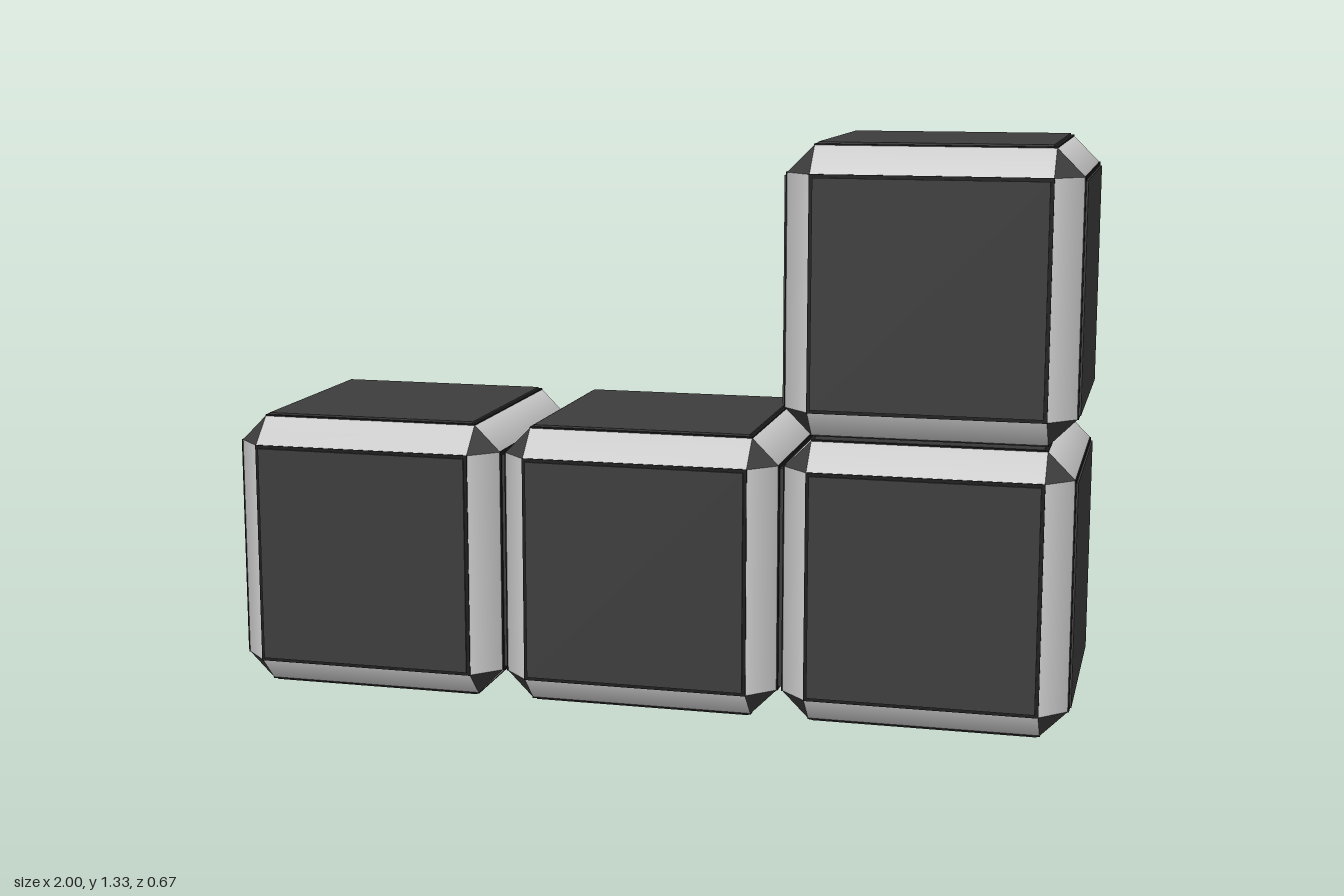
import * as THREE from 'three';
import { mergeGeometries } from 'three/addons/utils/BufferGeometryUtils.js';

const PITCH = 2 / 3;   // spacing of the cubes
const OUT = 0.327;     // outer plane of the bevelled frame
const IN = 0.265;      // where the bevels begin
const QUARTER = Math.PI / 2;

const edgeMaterial = new THREE.MeshStandardMaterial({ color: 0xcccccc });
const panelMaterial = new THREE.MeshStandardMaterial({ color: 0x3c3c3c });
const rimMaterial = new THREE.MeshStandardMaterial({ color: 0x1c1c1c });

// Twelve bevel strips, with normals fanned slightly for a soft rounded look
function edgeGeometry() {
  const strip = new THREE.PlaneGeometry(2 * IN, (OUT - IN) * Math.SQRT2);
  const { position, normal } = strip.attributes;
  const n = new THREE.Vector3();
  for (let i = 0; i < position.count; i++) {
    n.set(0, Math.sign(position.getY(i)) * 0.4, 1).normalize();
    normal.setXYZ(i, n.x, n.y, n.z);
  }
  strip.rotateX(-Math.PI / 4).translate(0, (OUT + IN) / 2, (OUT + IN) / 2);

  const strips = [];
  for (let k = 0; k < 4; k++) {
    const alongX = strip.clone().rotateX(k * QUARTER);
    strips.push(alongX, alongX.clone().rotateY(QUARTER), alongX.clone().rotateZ(QUARTER));
  }
  return mergeGeometries(strips);
}

// Eight flat triangular corners
function cornerGeometry() {
  const corner = new THREE.BufferGeometry();
  corner.setAttribute('position', new THREE.Float32BufferAttribute(
    [OUT, IN, IN, IN, OUT, IN, IN, IN, OUT], 3));
  corner.computeVertexNormals();
  const corners = [];
  for (let k = 0; k < 4; k++) {
    const top = corner.clone().rotateY(k * QUARTER);
    corners.push(top, top.clone().rotateX(Math.PI));
  }
  return mergeGeometries(corners);
}

// Three crossed blocks whose ends form the six square faces
function crossedBlocks(width, depth) {
  return mergeGeometries([
    new THREE.BoxGeometry(width, width, depth),
    new THREE.BoxGeometry(width, depth, width),
    new THREE.BoxGeometry(depth, width, width),
  ]);
}

export function createModel() {
  const model = new THREE.Group();
  model.name = 'cubePiece';

  const parts = [
    ['edgeBevels', edgeGeometry(), edgeMaterial],
    ['corners', cornerGeometry(), panelMaterial],
    ['panelRims', crossedBlocks(2 * IN + 0.002, 0.658), rimMaterial],
    ['facePanels', crossedBlocks(0.516, PITCH), panelMaterial],
  ];

  // Three cubes in a row and one on top of the +x end
  const cells = [[-1, 0], [0, 0], [1, 0], [1, 1]];
  cells.forEach(([column, row], i) => {
    const cube = new THREE.Group();
    cube.name = `cube${i + 1}`;
    for (const [name, geometry, material] of parts) {
      const mesh = new THREE.Mesh(geometry, material);
      mesh.name = name;
      cube.add(mesh);
    }
    cube.position.set(column * PITCH, (row + 0.5) * PITCH, 0);
    model.add(cube);
  });

  return model;
}
